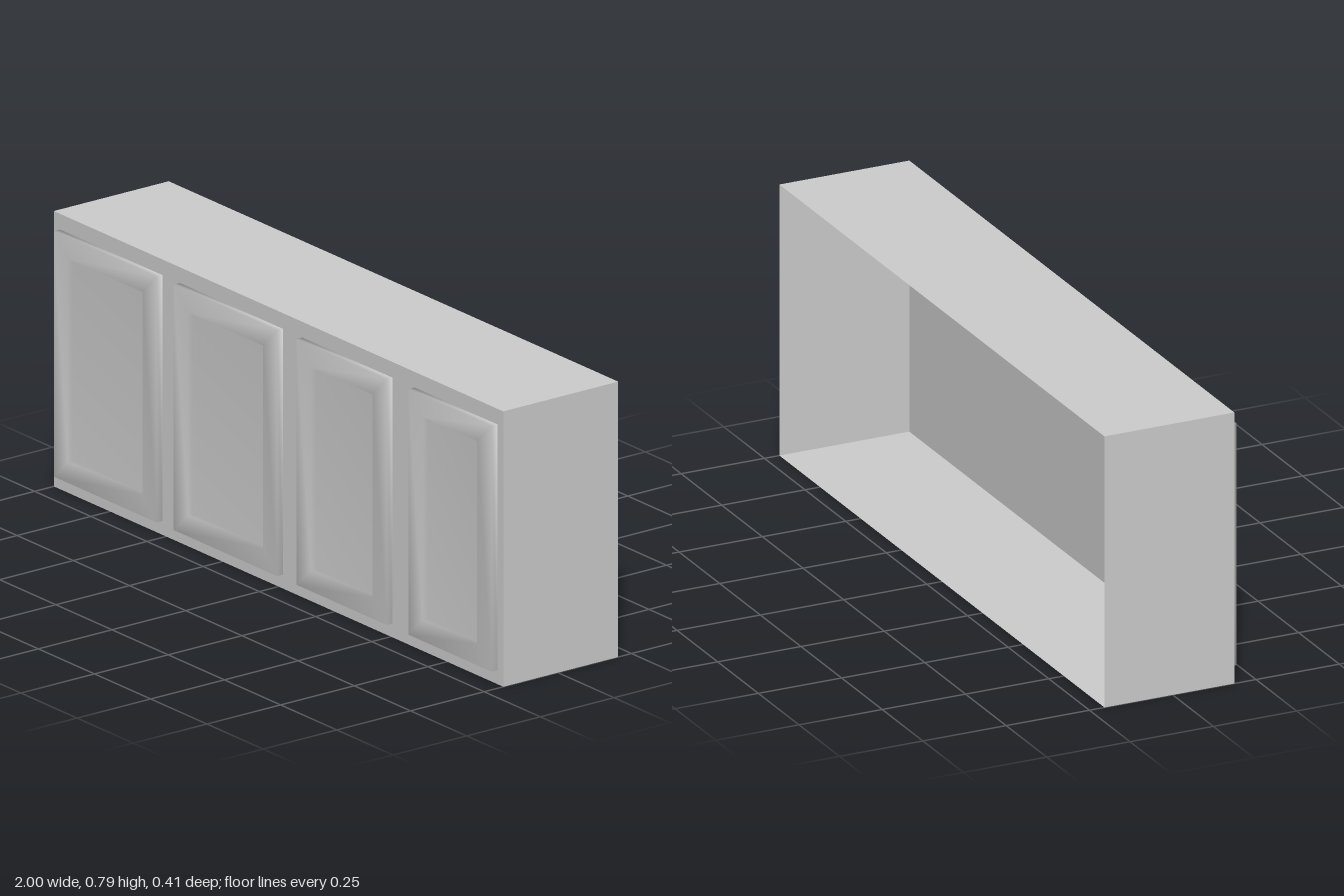
import * as THREE from 'three';

const BACK = -0.205, FACE = 0.185, FRONT = 0.205, RECESS = 0.188;
const HEIGHT = 0.79;

// Door skin lofted through rectangular rings; shared corners give soft shading
function doorGeometry(outer, inner) {
  const rings = [[outer, FACE], [outer, FRONT], [inner, FRONT], [inner, RECESS]];
  const positions = [], index = [];
  for (const [[x0, x1, y0, y1], z] of rings) {
    positions.push(x0, y0, z, x1, y0, z, x1, y1, z, x0, y1, z);
  }
  for (let r = 0; r < rings.length - 1; r++) {
    for (let i = 0; i < 4; i++) {
      const j = (i + 1) % 4, a = r * 4, b = a + 4;
      index.push(a + i, a + j, b + j, a + i, b + j, b + i);
    }
  }
  const c = (rings.length - 1) * 4;
  index.push(c, c + 1, c + 2, c, c + 2, c + 3); // recessed centre panel
  const geometry = new THREE.BufferGeometry();
  geometry.setAttribute('position', new THREE.Float32BufferAttribute(positions, 3));
  geometry.setIndex(index);
  geometry.computeVertexNormals();
  return geometry;
}

export function createModel() {
  const group = new THREE.Group();
  group.name = 'wallCabinet';
  const paint = new THREE.MeshStandardMaterial({ color: 0xcccccc, side: THREE.DoubleSide });
  paint.name = 'lightGrey';

  // Thin shell, open at the back
  const shell = new THREE.BoxGeometry(2, HEIGHT, FACE - BACK);
  shell.setIndex(Array.from(shell.index.array).slice(0, 30));
  shell.clearGroups();
  shell.translate(0, HEIGHT / 2, (FACE + BACK) / 2);
  const body = new THREE.Mesh(shell, paint);
  body.name = 'cabinetBody';
  group.add(body);

  // Doors: outer left and right edge, panel left and right edge
  const doors = [
    [-0.973, -0.516, -0.912, -0.58],
    [-0.44, 0.02, -0.376, -0.043],
    [0.106, 0.507, 0.17, 0.445],
    [0.604, 0.975, 0.668, 0.91],
  ];
  doors.forEach(([x0, x1, p0, p1], i) => {
    const door = new THREE.Mesh(doorGeometry([x0, x1, 0.04, 0.745], [p0, p1, 0.1, 0.683]), paint);
    door.name = `door${i + 1}`;
    group.add(door);
  });

  return group;
}
